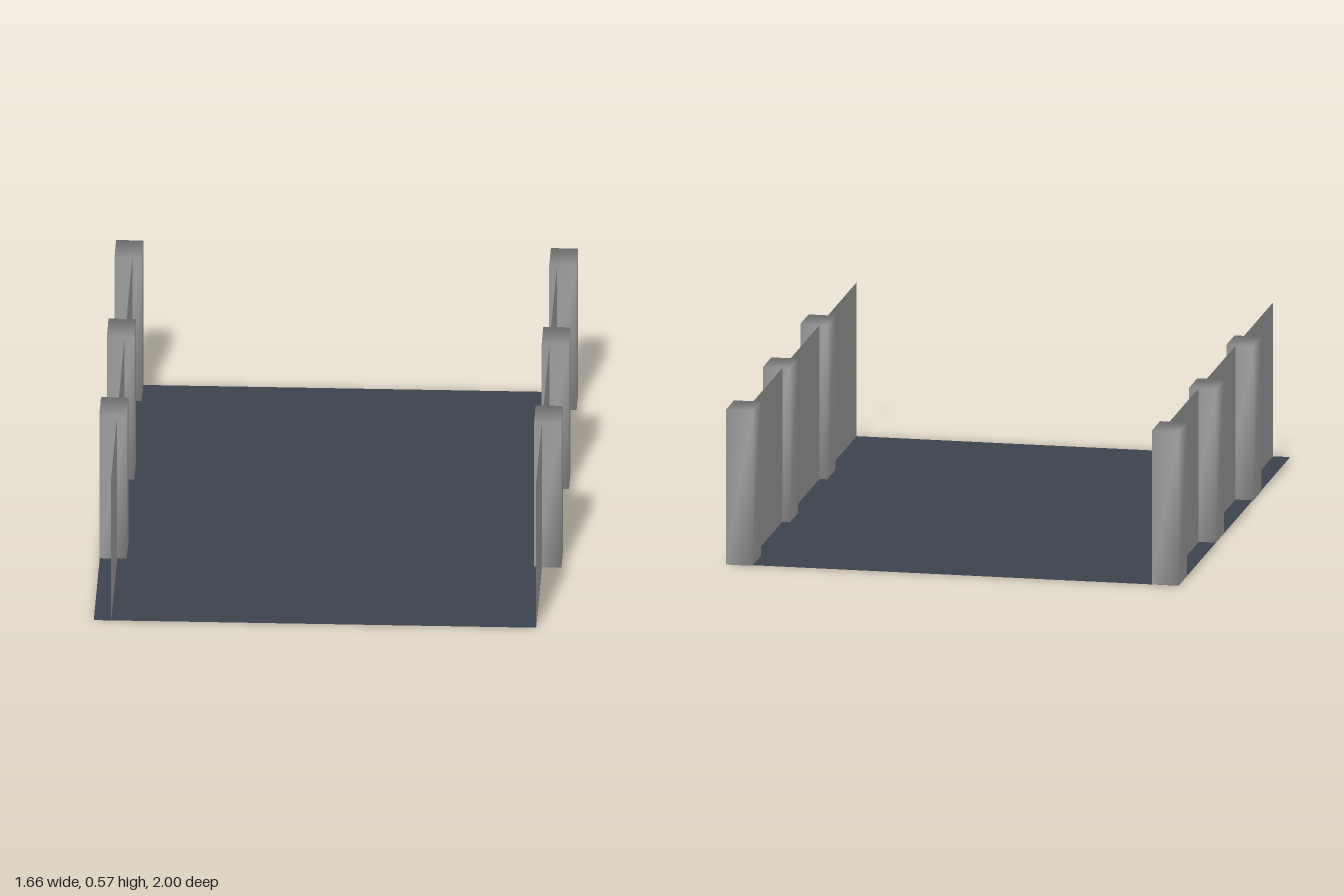
import * as THREE from 'three';
import { mergeVertices } from 'three/addons/utils/BufferGeometryUtils.js';

const HEIGHT = 0.57;

// Box with shared corners, so that its shading rounds over the edges
function softBox(w, h, d) {
  const box = new THREE.BoxGeometry(w, h, d);
  box.deleteAttribute('uv');
  box.deleteAttribute('normal');
  const geometry = mergeVertices(box);
  geometry.computeVertexNormals();
  return geometry;
}

export function createModel() {
  const group = new THREE.Group();
  const grey = new THREE.MeshStandardMaterial({ color: 0xa8a8a8, side: THREE.DoubleSide });
  grey.name = 'concrete grey';
  const slate = new THREE.MeshStandardMaterial({ color: 0x3d434e, side: THREE.DoubleSide });
  slate.name = 'slate floor';

  const add = (name, geometry, material, x, y, z) => {
    const mesh = new THREE.Mesh(geometry, material);
    mesh.name = name;
    mesh.position.set(x, y, z);
    group.add(mesh);
    return mesh;
  };

  // Floor sheet, reaching a little further out on the right
  const floor = new THREE.PlaneGeometry(1.585, 1.995).rotateX(-Math.PI / 2);
  add('floor', floor, slate, -0.035, 0.002, 0);

  // Thin side walls, open at both ends
  const wall = new THREE.PlaneGeometry(1.985, HEIGHT - 0.002).rotateY(Math.PI / 2);
  add('rightWall', wall, grey, -0.765, HEIGHT / 2, 0.005);
  add('leftWall', wall, grey, 0.757, HEIGHT / 2, 0.005);

  // Three pillars straddling each wall
  const rows = [
    { side: 'right', x: -0.78, z: [-0.93, -0.265, 0.4], base: [0.004, 0.004, 0] },
    { side: 'left', x: 0.778, z: [-0.925, -0.258, 0.407], base: [0, 0, 0] },
  ];
  for (const { side, x, z, base } of rows) {
    z.forEach((pz, i) => {
      const h = HEIGHT - base[i];
      add(`${side}Pillar${i + 1}`, softBox(0.098, h, 0.147), grey, x, base[i] + h / 2, pz);
    });
  }
  return group;
}
